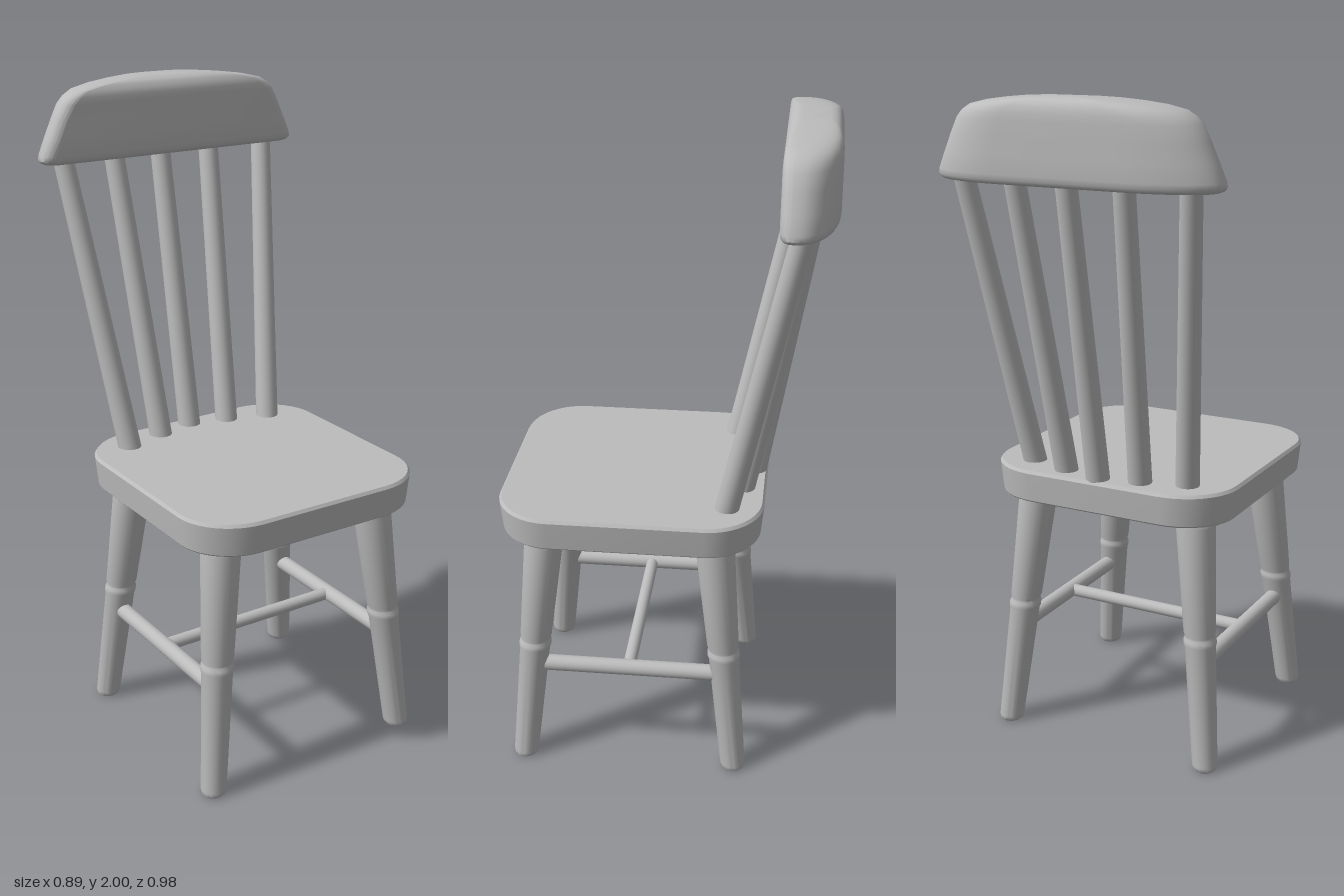
import * as THREE from 'three';
import { toCreasedNormals } from 'three/addons/utils/BufferGeometryUtils.js';

const wood = new THREE.MeshStandardMaterial({ color: 0xbcbcbc });
wood.name = 'grey wood';

function part(name, geometry) {
  const mesh = new THREE.Mesh(geometry, wood);
  mesh.name = name;
  return mesh;
}

// Round rod between two points
function rod(name, from, to, rFrom, rTo) {
  const a = new THREE.Vector3(...from), b = new THREE.Vector3(...to);
  const dir = b.clone().sub(a);
  const mesh = part(name, new THREE.CylinderGeometry(rTo, rFrom, dir.length(), 24));
  mesh.position.copy(a).add(b).multiplyScalar(0.5);
  mesh.quaternion.setFromUnitVectors(new THREE.Vector3(0, 1, 0), dir.normalize());
  return mesh;
}

// Plan outline with separate elliptical front and back corners
function outline(w, zFront, zBack, front, back) {
  const pts = [], steps = 10;
  const corners = [[1, 1], [1, -1], [-1, -1], [-1, 1]];
  corners.forEach(([sx, sz], q) => {
    const [rx, rz] = sz > 0 ? front : back;
    const cx = sx * (w - rx);
    const cz = sz > 0 ? zFront - rz : zBack + rz;
    for (let i = 0; i <= steps; i++) {
      const t = (q + i / steps) * Math.PI / 2;
      pts.push([cx + rx * Math.sin(t), cz + rz * Math.cos(t)]);
    }
  });
  return pts;
}

// Closed solid through stacked outlines, bottom to top
function loft(levels, crease) {
  const pos = [], idx = [], n = levels[0].pts.length;
  for (const { y, pts } of levels) for (const [x, z] of pts) pos.push(x, y, z);
  for (let k = 0; k < levels.length - 1; k++) {
    for (let j = 0; j < n; j++) {
      const a = k * n + j, b = k * n + (j + 1) % n;
      idx.push(a, b, b + n, a, b + n, a + n);
    }
  }
  const top = (levels.length - 1) * n;
  for (let j = 1; j < n - 1; j++) {
    idx.push(0, j + 1, j);
    idx.push(top, top + j, top + j + 1);
  }
  const g = new THREE.BufferGeometry();
  g.setAttribute('position', new THREE.Float32BufferAttribute(pos, 3));
  g.setIndex(idx);
  return toCreasedNormals(g, crease);
}

export function createModel() {
  const chair = new THREE.Group();
  chair.name = 'chair';

  // Seat: rounded square slab, slightly narrower below
  const seatLevels = [[0.785, 0.014], [0.79, 0.009], [0.878, 0], [0.887, 0.007]].map(([y, inset]) => ({
    y,
    pts: outline(0.397 - inset, 0.49 - inset, -0.312 + inset,
      [0.18 - inset, 0.17 - inset], [0.18 - inset, 0.17 - inset]),
  }));
  chair.add(part('seat', loft(seatLevels, 0.5)));

  // Turned legs, splayed by a shear so feet and collars stay level
  const profile = [
    [0, 0], [0.031, 0], [0.037, 0.006], [0.039, 0.018], [0.047, 0.385], [0.05, 0.395],
    [0.05, 0.408], [0.046, 0.416], [0.046, 0.422], [0.049, 0.432], [0.06, 0.766],
    [0.071, 0.766], [0.071, 0.79],
  ].map(([r, y]) => new THREE.Vector2(r, y));
  const legShape = new THREE.LatheGeometry(profile, 28);
  for (const [zName, zFoot, zSlope] of [['front', 0.423, -0.096], ['back', -0.243, 0.096]]) {
    for (const s of [1, -1]) {
      const g = legShape.clone().applyMatrix4(new THREE.Matrix4().set(
        1, -s * 0.099, 0, s * 0.349,
        0, 1, 0, 0,
        0, zSlope, 1, zFoot,
        0, 0, 0, 1));
      chair.add(part(zName + (s > 0 ? 'LeftLeg' : 'RightLeg'), toCreasedNormals(g, 0.7)));
    }
  }

  // Stretchers: one on each side and one across the middle
  for (const s of [1, -1]) {
    chair.add(rod(s > 0 ? 'leftStretcher' : 'rightStretcher',
      [s * 0.316, 0.33, -0.21], [s * 0.316, 0.33, 0.39], 0.025, 0.025));
  }
  chair.add(rod('crossStretcher', [-0.316, 0.33, 0.09], [0.316, 0.33, 0.09], 0.02, 0.02));

  // Back spindles fan out and lean backward
  const spindles = [[0, -0.27, 0, -0.433], [0.125, -0.24, 0.172, -0.422], [0.26, -0.2, 0.358, -0.396]];
  for (const [x0, z0, x1, z1] of spindles) {
    for (const s of x0 ? [1, -1] : [1]) {
      chair.add(rod('backSpindle', [s * x0, 0.875, z0], [s * x1, 1.785, z1], 0.036, 0.031));
    }
  }

  // Top rail: flat front, swept back corners, softly crowned top
  const railLevels = [
    // height, half width, inset of front and back
    [1.763, 0.425, 0.016], [1.767, 0.436, 0.007], [1.776, 0.443, 0.002], [1.79, 0.441, 0],
    [1.84, 0.419, 0], [1.89, 0.396, 0], [1.935, 0.373, 0], [1.955, 0.354, 0.001],
    [1.971, 0.327, 0.004], [1.983, 0.275, 0.009], [1.991, 0.215, 0.016],
    [1.997, 0.15, 0.026], [2, 0.09, 0.04],
  ].map(([y, w, inset]) => ({
    y,
    pts: outline(w, -0.331 - inset, -0.49 + inset,
      [Math.min(0.035, w * 0.3), 0.03 - inset * 0.3], [w * 0.54, 0.118 - inset * 1.3]),
  }));
  chair.add(part('topRail', loft(railLevels, 0.8)));

  return chair;
}
